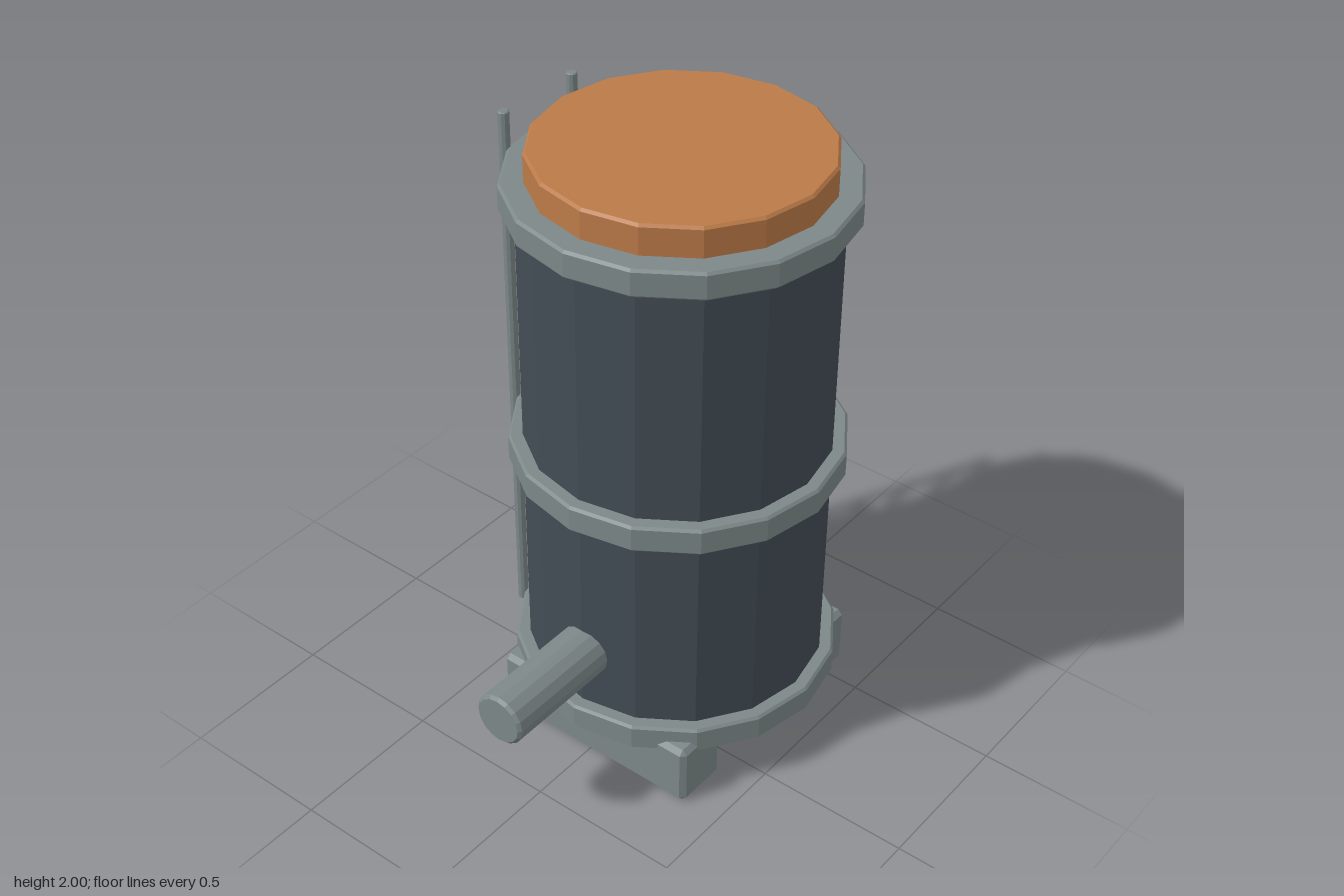
import * as THREE from 'three';
import { ConvexGeometry } from 'three/addons/geometries/ConvexGeometry.js';

const CX = 0.167, CZ = 0.013; // tank axis

function material(name, color) {
  const m = new THREE.MeshStandardMaterial({ color, flatShading: true });
  m.name = name;
  return m;
}

// Solid drum with chamfered rims, from y0 to y1
function drum(r, y0, y1, c, sides = 16) {
  const p = [[0, y0], [r - c, y0], [r, y0 + c], [r, y1 - c], [r - c, y1], [0, y1]];
  return new THREE.LatheGeometry(p.map(([x, y]) => new THREE.Vector2(x, y)), sides);
}

// Box with chamfered edges, centred on its origin
function chamferBox(w, h, d, c) {
  const pts = [];
  for (const x of [-1, 1]) for (const y of [-1, 1]) for (const z of [-1, 1]) {
    for (const [a, b, e] of [[0, c, c], [c, 0, c], [c, c, 0]]) {
      pts.push(new THREE.Vector3(x * (w / 2 - a), y * (h / 2 - b), z * (d / 2 - e)));
    }
  }
  return new ConvexGeometry(pts);
}

export function createModel() {
  const model = new THREE.Group();
  model.name = 'storageTank';
  const steel = material('greySteel', 0x7d8889);
  const dark = material('darkShell', 0x434d55);
  const copper = material('copperOrange', 0xbb7a48);
  const cyan = material('cyanGauge', 0x4fbfcc);

  function add(name, geometry, mat, x, y, z, parent = model) {
    const mesh = new THREE.Mesh(geometry, mat);
    mesh.name = name;
    mesh.position.set(x, y, z);
    parent.add(mesh);
    return mesh;
  }

  // Shell, lid and hoops
  add('shell', drum(0.47, 0.13, 1.89, 0.012), dark, CX, 0, CZ);
  add('lid', drum(0.441, 1.86, 2.0, 0.008), copper, CX, 0, CZ);
  [['bottomHoop', 0.17, 0.26], ['middleHoop', 0.955, 1.045], ['topHoop', 1.818, 1.906]].forEach(([name, y0, y1]) => {
    add(name, drum(0.514, y0, y1, 0.008), steel, CX, 0, CZ);
  });

  // Skid feet
  for (const [name, side] of [['rightFoot', -1], ['leftFoot', 1]]) {
    add(name, chamferBox(0.187, 0.21, 0.73, 0.016), steel, CX + side * 0.337, 0.105, CZ);
  }

  // Outlet pipe, running out to the right
  const pipe = add('outletPipe', drum(0.086, 0, 0.45, 0.01), steel, -0.235, 0.455, CZ);
  pipe.rotation.z = Math.PI / 2;

  // Ladder on the back
  const ladder = new THREE.Group();
  ladder.name = 'ladder';
  model.add(ladder);
  for (const [name, x] of [['rightRail', 0.017], ['leftRail', 0.316]]) {
    add(name, drum(0.017, 0.177, 1.987, 0.003, 10), steel, x, 0, -0.511, ladder);
  }
  const rungGeometry = drum(0.013, -0.15, 0.15, 0.003, 8);
  for (let i = 0; i < 8; i++) {
    add('rung', rungGeometry, steel, CX, 0.265 + i * 0.225, -0.522, ladder).rotation.z = Math.PI / 2;
  }

  // Level gauge strip behind the ladder
  add('levelGauge', chamferBox(0.05, 0.48, 0.06, 0.004), cyan, 0.242, 1.16, -0.47);

  return model;
}
